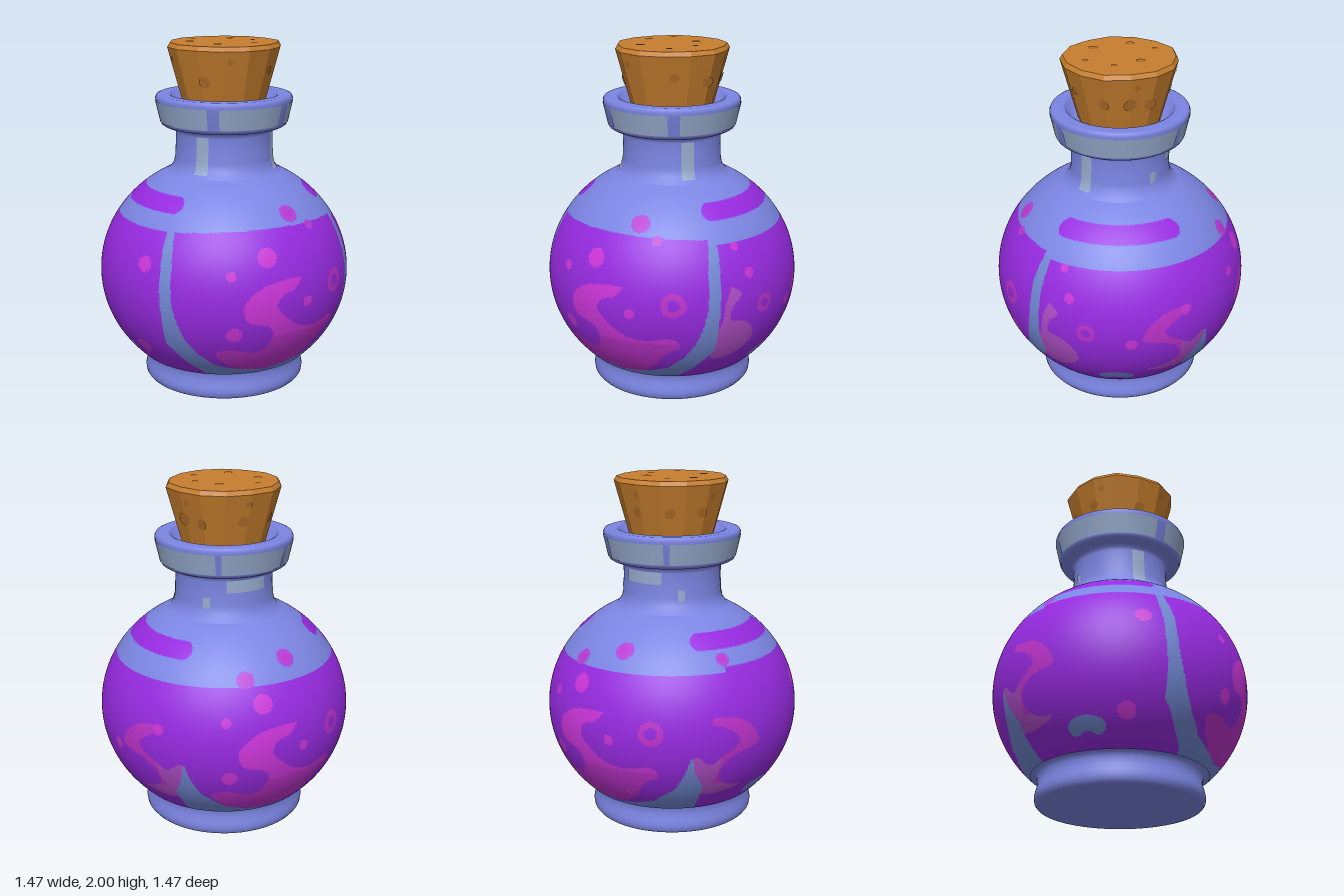
import * as THREE from 'three';

const mat = (name, color, side = THREE.FrontSide) => {
  const m = new THREE.MeshStandardMaterial({ color, side });
  m.name = name;
  return m;
};
const RAD = Math.PI / 180;
const CY = 0.66, RX = 0.735, RY = 0.67; // round body: centre height and radii
const radiusAt = y => RX * Math.sqrt(Math.max(0, 1 - ((y - CY) / RY) ** 2));
const v2 = pts => pts.map(p => new THREE.Vector2(p[0], p[1]));

// Piecewise linear lookup in [[y, value], ...] with rising y
function lookup(table, y) {
  if (y <= table[0][0]) return table[0][1];
  for (let i = 1; i < table.length; i++) {
    const [y0, a] = table[i - 1], [y1, b] = table[i];
    if (y <= y1) return a + (b - a) * (y - y0) / (y1 - y0);
  }
  return table[table.length - 1][1];
}

// Smooth closed outline through a few points, and a test for being inside it
const blob = pts => new THREE.SplineCurve(v2([...pts, pts[0]])).getPoints(pts.length * 4);
function inside(poly, x, y) {
  let hit = false;
  for (let i = 0, j = poly.length - 1; i < poly.length; j = i++) {
    const a = poly[i], b = poly[j];
    if ((a.y > y) !== (b.y > y) && x < (b.x - a.x) * (y - a.y) / (b.y - a.y) + a.x) hit = !hit;
  }
  return hit;
}

// Swirls, as seen facing the panel (sideways offset, height)
const bigSwirl = blob([[.14, .79], [-.07, .77], [-.2, .68], [-.19, .57], [-.07, .53], [-.03, .47], [-.06, .39],
  [-.12, .36], [-.25, .39], [-.32, .36], [-.25, .28], [-.12, .22], [.06, .21], [.2, .25], [.33, .39], [.41, .44],
  [.38, .5], [.25, .48], [.14, .5], [.04, .57], [-.02, .64], [.01, .7], [.09, .73]]);
const sideSwirl = blob([[.41, .78], [.28, .76], [.19, .69], [.15, .61], [.19, .58], [.29, .555], [.35, .5],
  [.35, .41], [.26, .35], [.18, .345], [.24, .31], [.36, .3], [.47, .35], [.51, .5], [.49, .565], [.42, .51],
  [.36, .56], [.3, .6], [.28, .65], [.36, .72], [.42, .74]]);
const smallSwirl = blob([[-.37, .78], [-.41, .69], [-.42, .6], [-.44, .47], [-.4, .34], [-.3, .33], [-.22, .4],
  [-.22, .48], [-.29, .56], [-.38, .59], [-.37, .67], [-.32, .73]]);

// Bubbles: angle from the front, height, radius, ring or not
const panelSpots = [[-5, .91, .055], [-22, .825, .028], [33, .7, .07, 1], [14, .64, .03], [-20.5, .49, .045],
  [14.6, 1.1, .055], [19.6, .31, .02]];
const spots = [...panelSpots, ...panelSpots.map(([a, ...r]) => [a + 175, ...r]),
  [25, 1.03, .03], [163, 1.03, .05], [77, .64, .055, 1], [69, .835, .03], [64, .98, .025], [122, .75, .03],
  [97, .577, .035], [245, 1.06, .04], [-63, .85, .045], [-70, .33, .05]].map(([a, y, r, ring]) => {
  const R = radiusAt(y);
  return { p: new THREE.Vector3(R * Math.sin(a * RAD), y, R * Math.cos(a * RAD)), r, ring, pale: y > 1 };
});

// Edges of the panels, as angle from the front by height
const frontInner = [[.2, 0], [.22, 13], [.24, 21.5], [.27, 30], [.36, 38.5], [.45, 43], [.55, 46], [.66, 48],
  [.9, 49], [1.04, 51]];
const frontOuter = [[.19, 37], [.27, 45], [.4, 53], [.66, 53.5], [.9, 54.5], [1, 55]];
const backInner = [[.19, 180], [.21, 165], [.25, 153], [.36, 141], [.46, 137], [.56, 134.5]];
const backOuter = [[.19, 129], [.36, 128], [.46, 132.5], [.56, 134]];

// Colour slots: 0 glass, 1 steel, 2 purple, 3 pink, 4 magenta, 5 mauve, 6 lilac
function colourAt(p) {
  const deg = Math.atan2(p.x, p.z) / RAD, a = Math.abs(deg), y = p.y;
  const R = Math.hypot(p.x, p.z);
  for (const s of spots) {
    const d = p.distanceTo(s.p);
    if (d < s.r) return s.pale ? (d < s.r * .5 ? 4 : 6) : s.ring ? (d < s.r * .5 ? 2 : 4) : 3;
  }
  if (y > 1.108 && y < 1.185) {
    const taper = ((y - 1.146) * 52) ** 2;
    return a > 51 + taper && a < 132 - taper ? 2 : 0;
  }
  // surface of the potion, a little higher in front and on the right-hand side
  const level = a < 51 ? 1.046 - .02 * (a / 51) ** 2 : deg < 0 && a < 115 ? 1.025 : 1.0;
  if (y > level) return 0;
  if (a > lookup(frontInner, y) && a < lookup(frontOuter, y)) return 1;
  if (y < .2 && a < 37) return 1;
  if (y < .56 && a > lookup(backOuter, y) && a < lookup(backInner, y)) return 1;
  // small crescent low on each side
  const crescent = ((a - 90) / 10) ** 2 + ((y - .265) / .052) ** 2 < 1;
  if (crescent && y > .23 && ((a - 90) / 4) ** 2 + ((y - .23) / .016) ** 2 > 1) return 1;
  // swirls on the front and back panels
  if (a < 60 || a > 120) {
    const u = a < 90 ? p.x : R * Math.sin((deg - 175) * RAD);
    if (inside(bigSwirl, u, y)) return y > .46 ? 3 : 4;
  }
  // swirls on the two sides
  if (a > 45 && a < 140) {
    if (inside(sideSwirl, -p.z, y)) return y < .38 || (y < .575 && p.z < -.37) ? 5 : 4;
    if (p.x > 0 && inside(smallSwirl, -p.z, y)) return 5;
  }
  return 2;
}

// Round body whose faces are sorted into colour groups
function paintedBody(materials) {
  const t0 = Math.acos((1.265 - CY) / RY), t1 = Math.acos((.17 - CY) / RY);
  const g = new THREE.SphereGeometry(1, 400, 150, 0, Math.PI * 2, t0, t1 - t0);
  g.scale(RX, RY, RX).translate(0, CY, 0);
  const lists = materials.map(() => []), idx = g.index.array, pos = g.attributes.position;
  const c = new THREE.Vector3(), q = new THREE.Vector3();
  for (let i = 0; i < idx.length; i += 3) {
    c.set(0, 0, 0);
    for (let k = 0; k < 3; k++) c.add(q.fromBufferAttribute(pos, idx[i + k]));
    lists[colourAt(c.divideScalar(3))].push(idx[i], idx[i + 1], idx[i + 2]);
  }
  g.setIndex(lists.flat());
  g.clearGroups();
  let start = 0;
  lists.forEach((l, i) => { g.addGroup(start, l.length, i); start += l.length; });
  return new THREE.Mesh(g, materials);
}

export function createModel() {
  const model = new THREE.Group();
  const glass = mat('glass blue', 0x7b85e2), steel = mat('steel blue', 0x7289d4);
  const shine = mat('grey blue', 0x97abce, THREE.DoubleSide), purple = mat('potion purple', 0x962ae0);
  const pink = mat('bubble pink', 0xcc36da), magenta = mat('swirl magenta', 0xbe33cc);
  const mauve = mat('swirl mauve', 0xb04ec8), lilac = mat('bubble lilac', 0xae40d8);
  const cork = mat('cork', 0xc67e2e), hole = mat('cork hole', 0xb27029);
  const add = (name, geo, m, parent = model) => {
    const mesh = new THREE.Mesh(geo, m);
    mesh.name = name;
    parent.add(mesh);
    return mesh;
  };

  // Bottle
  const body = paintedBody([glass, steel, purple, pink, magenta, mauve, lilac]);
  body.name = 'body';
  model.add(body);
  add('base', new THREE.LatheGeometry(v2([[0, 0], [.45, 0], [.462, .003], [.474, .018], [.478, .045], [.472, .075],
    [.463, .11], [.463, .145], [.472, .17], [.495, .184], [.52, .187]]), 72), glass);
  add('neckAndLip', new THREE.LatheGeometry(v2([[.36, 1.24], [.318, 1.267], [.294, 1.3], [.285, 1.34], [.281, 1.42],
    [.281, 1.485], [.287, 1.508], [.305, 1.519], [.345, 1.523], [.362, 1.533], [.368, 1.55], [.394, 1.66],
    [.397, 1.685], [.39, 1.7], [.378, 1.705], [.32, 1.705], [.308, 1.7], [.285, 1.665], [.25, 1.64], [.15, 1.63]]),
  72), glass);

  // Pale reflections on the lip and neck: start angle, end angle, profile
  const shines = new THREE.Group();
  shines.name = 'reflections';
  model.add(shines);
  const plate = (name, from, to, pts) => add(name, new THREE.LatheGeometry(v2(pts),
    Math.max(4, Math.ceil((to - from) / 5)), from * RAD, (to - from) * RAD), shine, shines);
  const lipBand = [[.371, 1.548], [.398, 1.668]];
  plate('lipFront', -29, 29, lipBand);
  plate('lipBack', 150, 210, lipBand);
  for (const s of [1, -1]) {
    const strip = (name, a, b, pts) => plate(name, Math.min(s * a, s * b), Math.max(s * a, s * b), pts);
    strip('lipSide', 39, 145, lipBand);
    strip('neckStripe', 43, 58, [[.311, 1.28], [.298, 1.3], [.288, 1.34], [.284, 1.42], [.284, 1.49]]);
    strip('neckGlint', 128, 136, [[.288, 1.32], [.286, 1.39]]);
  }
  plate('neckBack', 155, 205, [[.284, 1.42], [.284, 1.49]]);

  // Cork: faceted, slightly irregular
  const stopper = new THREE.Group();
  stopper.name = 'cork';
  model.add(stopper);
  const N = 14, wobble = i => 1.015 + .02 * Math.sin((i % N) * 2.4 + 1);
  const sideRadius = y => .25 + (y - 1.7) * .27;
  let cg = new THREE.LatheGeometry(v2([[0, 1.6], [sideRadius(1.6), 1.6], [sideRadius(1.975), 1.975],
    [.309, 2], [0, 2]]), N);
  const cp = cg.attributes.position;
  for (let i = 0; i < cp.count; i++) {
    const k = wobble(Math.floor(i / 5));
    cp.setXYZ(i, cp.getX(i) * k, cp.getY(i), cp.getZ(i) * k);
  }
  cg = cg.toNonIndexed();
  cg.computeVertexNormals();
  add('corkBody', cg, cork, stopper);

  // Holes on the cork: thin dark discs
  const disc = (p, n, r) => {
    const m = add('corkHole', new THREE.CircleGeometry(r, 16), hole, stopper);
    m.position.copy(p).addScaledVector(n, .004);
    m.quaternion.setFromUnitVectors(new THREE.Vector3(0, 0, 1), n);
  };
  for (const [x, z, r] of [[-.11, -.19, .016], [.09, -.115, .026], [-.19, -.05, .026], [.17, .025, .018],
    [-.11, .155, .026], [.1, .185, .018]])
    disc(new THREE.Vector3(x, 2, z), new THREE.Vector3(0, 1, 0), r);
  const corner = (i, y) => {
    const r = sideRadius(y) * wobble(i), a = i / N * Math.PI * 2;
    return new THREE.Vector3(r * Math.sin(a), y, r * Math.cos(a));
  };
  for (const [deg, y, r] of [[-48, 1.8, .033], [-19, 1.915, .018], [35, 1.855, .026], [75, 1.82, .032],
    [103, 1.82, .038], [110, 1.92, .018], [127, 1.805, .032], [174, 1.82, .03], [178, 1.92, .018],
    [215, 1.82, .03], [253, 1.82, .03], [265, 1.91, .018]]) {
    const f = ((deg + 360) % 360) / 360 * N, i = Math.floor(f);
    const a = corner(i, y), b = corner(i + 1, y);
    const up = corner(i, y + .1).sub(a);
    const n = b.clone().sub(a).cross(up).normalize();
    disc(a.lerp(b, f - i), n, r);
  }
  return model;
}
